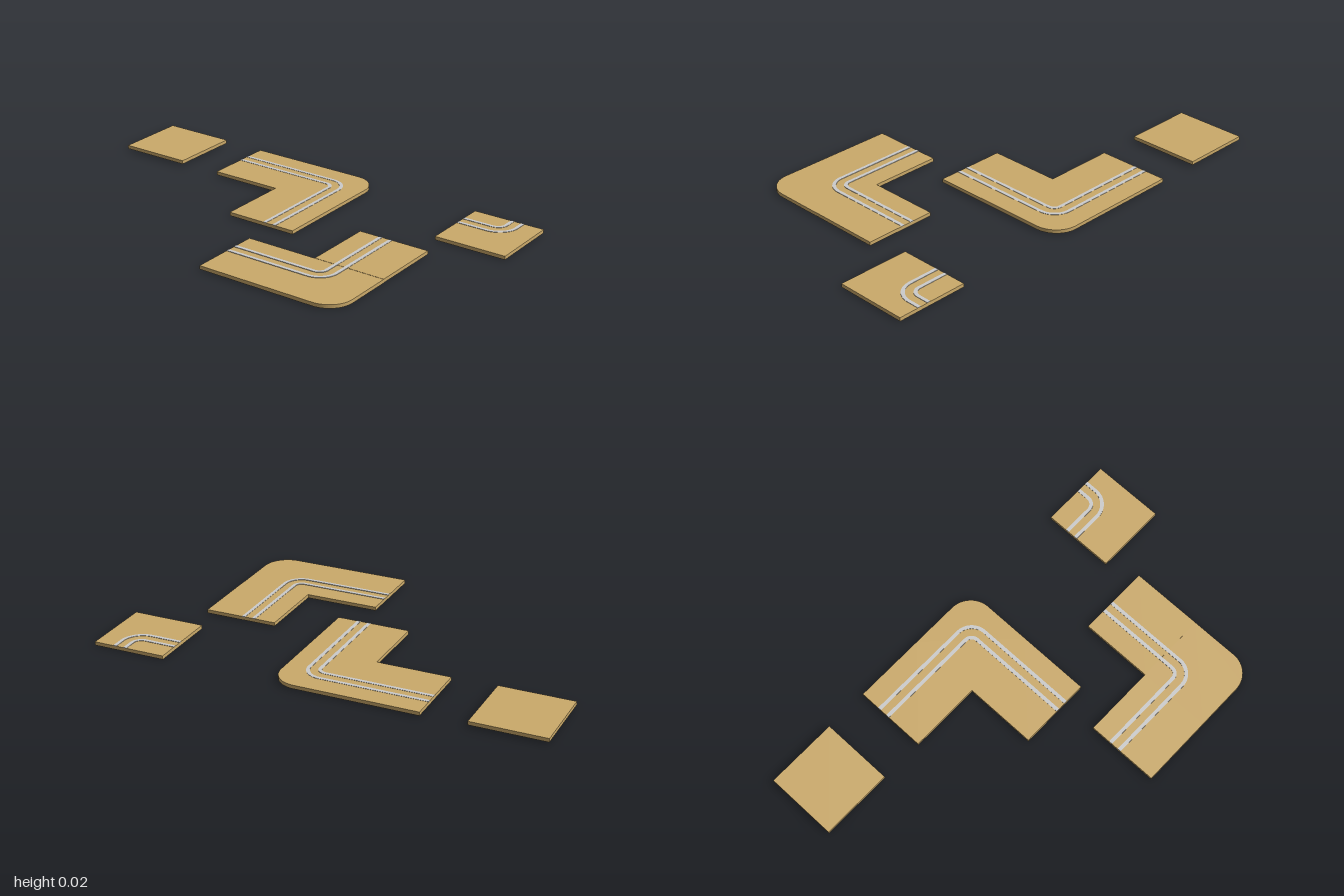
import * as THREE from 'three';

const T = 0.016; // tile thickness
const S = 0.326; // tile side
const wood = new THREE.MeshStandardMaterial({ color: 0xcbaa6a });
const grey = new THREE.MeshStandardMaterial({ color: 0xcccccc });

// Extrudes a plan shape (drawn as x, -z) upward from height y
function slab(name, shape, y, depth, material) {
  const geo = new THREE.ExtrudeGeometry(shape, { depth, bevelEnabled: false, curveSegments: 12 });
  geo.rotateX(-Math.PI / 2);
  const mesh = new THREE.Mesh(geo, material);
  mesh.position.y = y;
  mesh.name = name;
  return mesh;
}

// Plain square tile, placed by its left and back edges
function tile(name, x, z, y) {
  const mesh = new THREE.Mesh(new THREE.BoxGeometry(S, T, S), wood);
  mesh.position.set(x + S / 2, y + T / 2, z + S / 2);
  mesh.name = name;
  return mesh;
}

// Square tile with its outer right corner rounded; s = 1 rounds the front, -1 the back
function cornerTile(name, x, z, y, s) {
  const r = 0.11, x1 = x + S;
  const front = -(z + S), back = -z;
  const a = s > 0 ? front : back, b = s > 0 ? back : front;
  const shape = new THREE.Shape();
  shape.moveTo(x, a);
  shape.lineTo(x1 - r, a);
  shape.absarc(x1 - r, a + s * r, r, -s * Math.PI / 2, 0, s < 0);
  shape.lineTo(x1, b);
  shape.lineTo(x, b);
  shape.closePath();
  return slab(name, shape, y, T, wood);
}

// Strip running right along z, then turning toward zEnd at cx
function strip(x0, z, cx, zEnd, r, y) {
  const s = zEnd < z ? 1 : -1, w = 0.008;
  const px = cx - r, py = -z + s * r; // bend centre
  const shape = new THREE.Shape();
  shape.moveTo(x0, -z - s * w);
  shape.lineTo(px, -z - s * w);
  shape.absarc(px, py, r + w, -s * Math.PI / 2, 0, s < 0);
  shape.lineTo(cx + w, -zEnd);
  shape.lineTo(cx - w, -zEnd);
  shape.lineTo(cx - w, py);
  shape.absarc(px, py, r - w, 0, -s * Math.PI / 2, s > 0);
  shape.lineTo(x0, -z + s * w);
  shape.closePath();
  return slab('strip', shape, y, 0.003, grey);
}

function section(name, ...parts) {
  const group = new THREE.Group();
  group.name = name;
  group.add(...parts);
  return group;
}

export function createModel() {
  const model = new THREE.Group();
  model.name = 'trackTiles';

  // Loose blank tile
  model.add(tile('blankTile', -1, -0.572, 0.008));

  // Back bend of three tiles
  model.add(section('backBend',
    tile('sideTile', -0.476, -0.572, 0.003),
    cornerTile('cornerTile', -0.15, -0.572, 0.003, -1),
    tile('endTile', -0.15, -0.246, 0.003),
    strip(-0.476, -0.473, 0.08, 0.08, 0.08, 0.017),
    strip(-0.476, -0.425, 0.032, 0.08, 0.035, 0.017)));

  // Front bend of three tiles
  model.add(section('frontBend',
    tile('sideTile', 0.076, 0.241, 0.002),
    cornerTile('cornerTile', 0.402, 0.241, 0.002, 1),
    tile('endTile', 0.402, -0.085, 0.003),
    strip(0.076, 0.387, 0.551, -0.085, 0.08, 0.017),
    strip(0.076, 0.339, 0.503, -0.085, 0.035, 0.017)));

  // Loose tile with a short bend
  model.add(section('bendTile',
    tile('base', 0.674, -0.555, 0),
    strip(0.674, -0.409, 0.903, -0.555, 0.09, 0.0145),
    strip(0.674, -0.457, 0.855, -0.555, 0.042, 0.0145)));

  return model;
}
